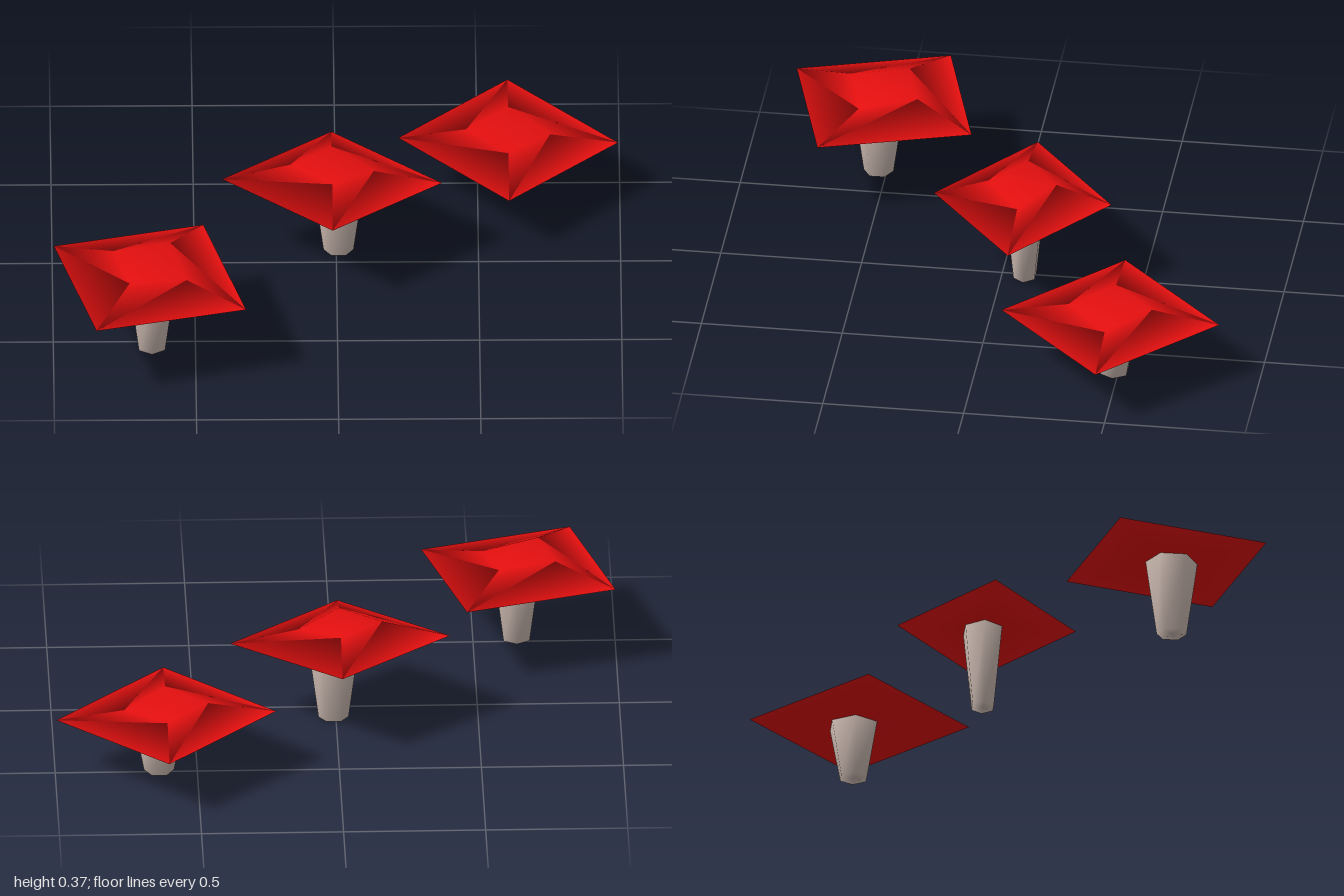
import * as THREE from 'three';
import { mergeVertices } from 'three/addons/utils/BufferGeometryUtils.js';

const capRed = new THREE.MeshStandardMaterial({ color: 0xe60f0f });
capRed.name = 'cap red';
const stemBeige = new THREE.MeshStandardMaterial({ color: 0xcab8af });
stemBeige.name = 'stem beige';

// Four-sided cap: wide rim, small crown with one lowered corner, flat underside
function capGeometry(radius, rise, drop, tilt) {
  const points = [];
  const ring = (r, height) => {
    for (let i = 0; i < 4; i++) {
      const a = (i * Math.PI) / 2;
      const x = Math.cos(a) * r;
      points.push(x, height(i) - tilt * x / radius, Math.sin(a) * r);
    }
  };
  ring(radius, () => 0);
  ring(radius * 0.38, (i) => (i === 0 ? rise - drop : rise));
  points.push(0, 0, 0);
  const index = [];
  for (let i = 0; i < 4; i++) {
    const j = (i + 1) % 4;
    index.push(i, 4 + i, j, j, 4 + i, 4 + j); // slope
    index.push(i, j, 8); // underside
  }
  index.push(4, 7, 5, 5, 7, 6); // crown, folded across the middle
  const g = new THREE.BufferGeometry();
  g.setAttribute('position', new THREE.Float32BufferAttribute(points, 3));
  g.setIndex(index);
  g.computeVertexNormals();
  return g;
}

// Six-sided tapering stem, shaded smoothly over its ends
function stemGeometry(height) {
  let g = new THREE.CylinderGeometry(0.092, 0.053, height, 6);
  g.rotateY(Math.PI / 2);
  g.translate(0, height / 2, 0);
  g.deleteAttribute('normal');
  g.deleteAttribute('uv');
  g = mergeVertices(g);
  g.computeVertexNormals();
  return g;
}

function mushroom({ name, x, z, turn, depth, rimY, rise, drop, tilt, stemX, stemZ }) {
  const group = new THREE.Group();
  group.name = name;
  const cap = new THREE.Mesh(capGeometry(0.387, rise, drop, tilt), capRed);
  cap.name = 'cap';
  cap.position.y = rimY;
  const stem = new THREE.Mesh(stemGeometry(rimY + 0.002), stemBeige);
  stem.name = 'stem';
  stem.position.set(stemX, 0, stemZ);
  group.add(cap, stem);
  group.position.set(x, 0, z);
  group.rotation.y = turn;
  group.scale.z = depth;
  return group;
}

export function createModel() {
  const model = new THREE.Group();
  model.name = 'mushrooms';
  model.add(
    mushroom({ name: 'frontMushroom', x: -0.66, z: 0.511, turn: -0.515, depth: 1,
      rimY: 0.276, rise: 0.062, drop: 0.02, tilt: 0.01, stemX: 0.015, stemZ: 0.013 }),
    mushroom({ name: 'middleMushroom', x: -0.015, z: -0.07, turn: 0, depth: 0.815,
      rimY: 0.296, rise: 0.066, drop: 0.02, tilt: 0.01, stemX: 0.023, stemZ: -0.014 }),
    mushroom({ name: 'backMushroom', x: 0.608, z: -0.467, turn: 0, depth: 1,
      rimY: 0.202, rise: 0.043, drop: 0.014, tilt: 0.012, stemX: 0.026, stemZ: -0.018 }),
  );
  return model;
}
